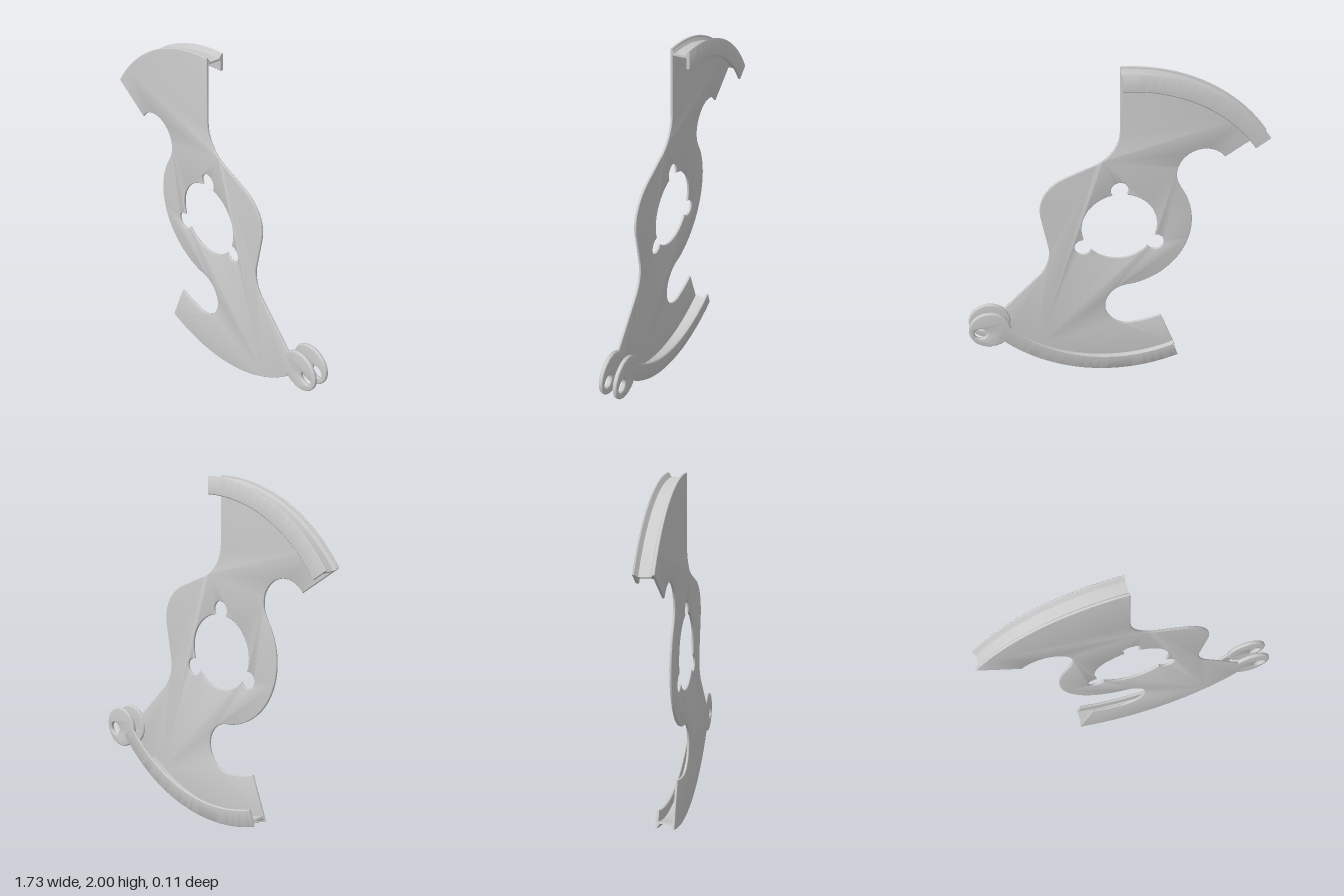
import * as THREE from 'three';
import { toCreasedNormals } from 'three/addons/utils/BufferGeometryUtils.js';

const CX = -0.05, CY = 1;            // hub centre, shared by all rim arcs
const rad = THREE.MathUtils.degToRad;
const material = new THREE.MeshStandardMaterial({ color: 0xcccccc });

function addMesh(group, geometry, name) {
  const mesh = new THREE.Mesh(toCreasedNormals(geometry, 0.6), material);
  mesh.name = name;
  group.add(mesh);
}

// Flat part with rounded edges, filling z0..z1
function slab(shape, z0, z1, bevel) {
  const g = new THREE.ExtrudeGeometry(shape, {
    depth: z1 - z0 - 2 * bevel, bevelThickness: bevel, bevelSize: bevel,
    bevelOffset: -bevel, bevelSegments: 3, curveSegments: 40,
  });
  return g.translate(0, 0, z0 + bevel);
}

// Sweeps a (radius, z) profile around the hub, from the larger angle to the smaller
function sweep(profile, from, to) {
  const shape = new THREE.Shape(profile.map(([r, z]) => new THREE.Vector2(r, z)));
  const g = new THREE.ExtrudeGeometry(shape, { depth: 1, steps: 56, bevelEnabled: false });
  const p = g.attributes.position;
  for (let i = 0; i < p.count; i++) {
    const r = p.getX(i), z = p.getY(i);
    const a = rad(from + (to - from) * p.getZ(i));
    p.setXYZ(i, CX + r * Math.cos(a), CY + r * Math.sin(a), z);
  }
  return g;
}

function plateShape() {
  const s = new THREE.Shape();
  // right edge, top to bottom
  s.moveTo(CX, 2);
  s.lineTo(CX, 1.62);
  s.bezierCurveTo(-0.05, 1.53, 0.01, 1.455, 0.09, 1.42);
  s.lineTo(0.25, 1.355);
  s.bezierCurveTo(0.36, 1.31, 0.42, 1.21, 0.402, 1.1);
  s.lineTo(0.365, 0.89);
  s.bezierCurveTo(0.355, 0.82, 0.38, 0.745, 0.43, 0.695);
  s.lineTo(0.645, 0.475);
  s.lineTo(0.7, 0.4);
  // lower rim and notch
  s.absarc(CX, CY, 1, rad(-46), rad(-111), true);
  s.lineTo(-0.31, 0.322);
  s.quadraticCurveTo(-0.23, 0.292, -0.15, 0.284);
  s.absarc(-0.115, 0.43, 0.15, rad(-97), rad(85), false);
  // hub side, upper notch and upper rim
  s.absarc(CX, CY, 0.425, rad(260), rad(147), true);
  s.absarc(-0.525, 1.33, 0.15, rad(-25), rad(143), false);
  s.absarc(CX, CY, 1, rad(145), rad(90), true);

  // bore with three keyed lobes
  const bore = new THREE.Path();
  for (const a of [90, 210, 330]) {
    const x = CX + 0.247 * Math.cos(rad(a)), y = CY + 0.247 * Math.sin(rad(a));
    bore.absarc(x, y, 0.05, rad(a - 126), rad(a + 126), false);
    bore.absarc(CX, CY, 0.22, rad(a + 13), rad(a + 107), false);
  }
  bore.closePath();
  s.holes.push(bore);
  return s;
}

function lugShape() {
  const s = new THREE.Shape();
  s.absarc(0.74, 0.39, 0.125, 0, Math.PI * 2, false);
  const hole = new THREE.Path();
  hole.absarc(0.795, 0.37, 0.038, 0, Math.PI * 2, true);
  s.holes.push(hole);
  return s;
}

export function createModel() {
  const group = new THREE.Group();
  group.name = 'sectorPulley';

  addMesh(group, slab(plateShape(), 0.041, 0.055, 0.004), 'plate');

  // grooved rim: back flange, flared lips and the web joining it to the plate
  const rim = [
    [0.904, -0.055], [0.994, -0.055], [1, -0.051], [0.998, -0.046],
    [0.984, -0.037], [0.974, -0.03], [0.974, 0.03], [0.984, 0.037],
    [0.994, 0.043], [0.962, 0.043], [0.962, -0.039], [0.904, -0.039], [0.9, -0.043], [0.9, -0.051],
  ];
  addMesh(group, sweep(rim, 145, 90), 'upperRim');
  addMesh(group, sweep(rim, -53.6, -111), 'lowerRim');

  // back flange carries on past the web to its lug
  const flange = [
    [0.904, -0.055], [0.994, -0.055], [1, -0.051], [0.998, -0.046],
    [0.984, -0.039], [0.904, -0.039], [0.9, -0.043], [0.9, -0.051],
  ];
  addMesh(group, sweep(flange, -41, -53.6), 'flangeExtension');

  // pair of pierced lugs with an open slot between
  addMesh(group, slab(lugShape(), 0.031, 0.055, 0.008), 'frontLug');
  addMesh(group, slab(lugShape(), -0.055, -0.031, 0.008), 'backLug');
  return group;
}
